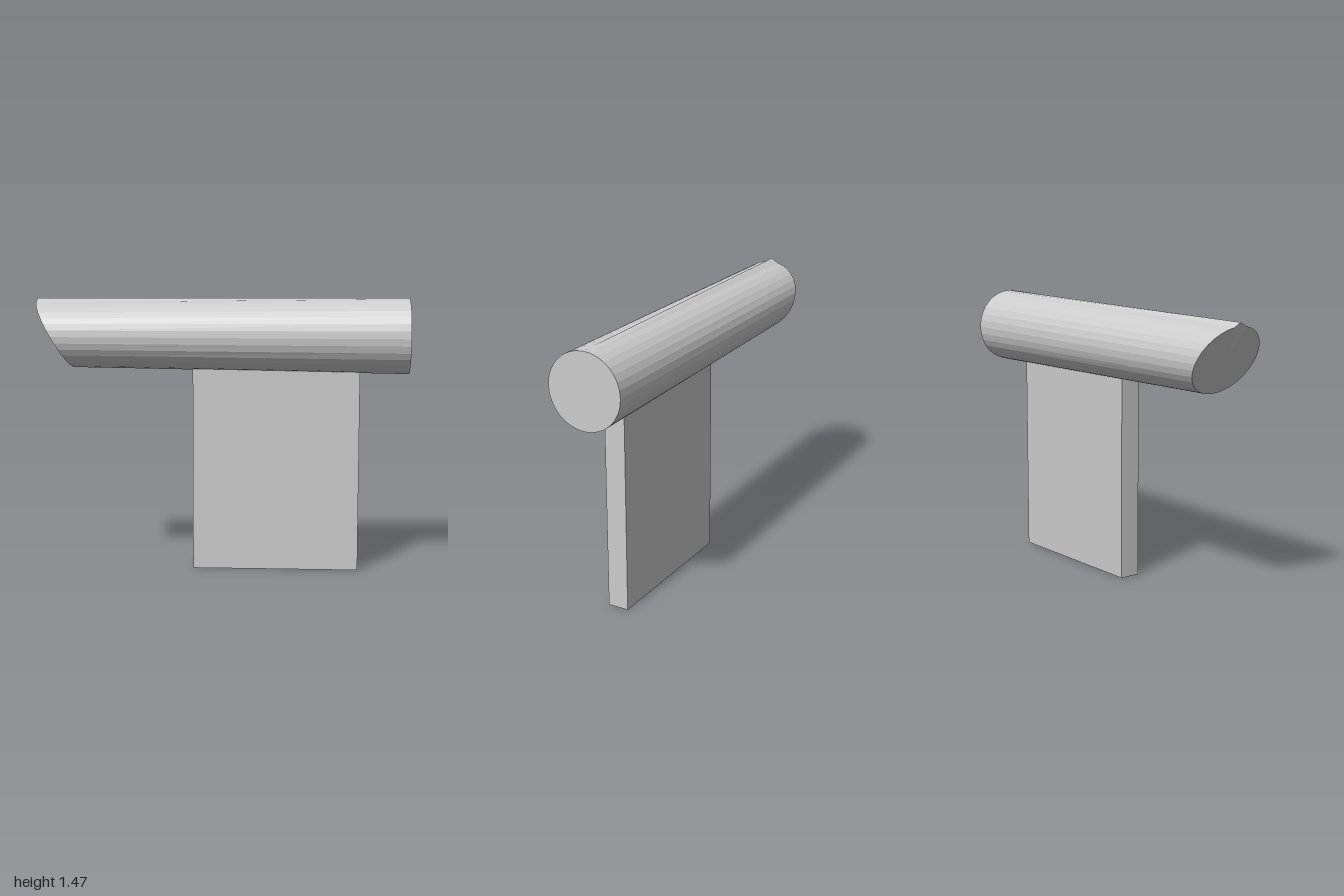
import * as THREE from 'three';

const SIDES = 32;

// Round bar lofted between a square-cut right ring and a slanted left ring
function barGeometry() {
  const left = [], right = [], pos = [];
  for (let i = 0; i < SIDES; i++) {
    const a = (i / SIDES) * Math.PI * 2, c = Math.cos(a), s = Math.sin(a);
    // the topmost point of the slanted ring is raised into a small ridge
    const y = i === 0 ? 1.47 : 1.274 + 0.177 * c;
    left.push([Math.max(-1, -1 + (1.447 - y) * 0.571), y, 0.2 * s]);
    right.push([1, 1.272 + 0.2025 * c, 0.2025 * s]);
  }
  const tri = (...corners) => corners.forEach((p) => pos.push(...p));
  for (let i = 0; i < SIDES; i++) {
    const j = (i + 1) % SIDES;
    tri(left[i], left[j], right[i]);
    tri(left[j], right[j], right[i]);
    tri([1, 1.272, 0], right[i], right[j]);
    tri([-0.901, 1.274, 0], left[j], left[i]);
  }
  const geometry = new THREE.BufferGeometry();
  geometry.setAttribute('position', new THREE.Float32BufferAttribute(pos, 3));
  geometry.computeVertexNormals();
  return geometry;
}

export function createModel() {
  const group = new THREE.Group();
  const material = new THREE.MeshStandardMaterial({ color: 0xcccccc, flatShading: true });

  const bar = new THREE.Mesh(barGeometry(), material);
  bar.name = 'slantedBar';

  // Flat upright plate, its top edge sunk into the bar
  const plate = new THREE.Mesh(new THREE.BoxGeometry(0.895, 1.11, 0.114), material);
  plate.position.set(0.2925, 0.555, 0);
  plate.name = 'uprightPlate';

  group.add(bar, plate);
  return group;
}
